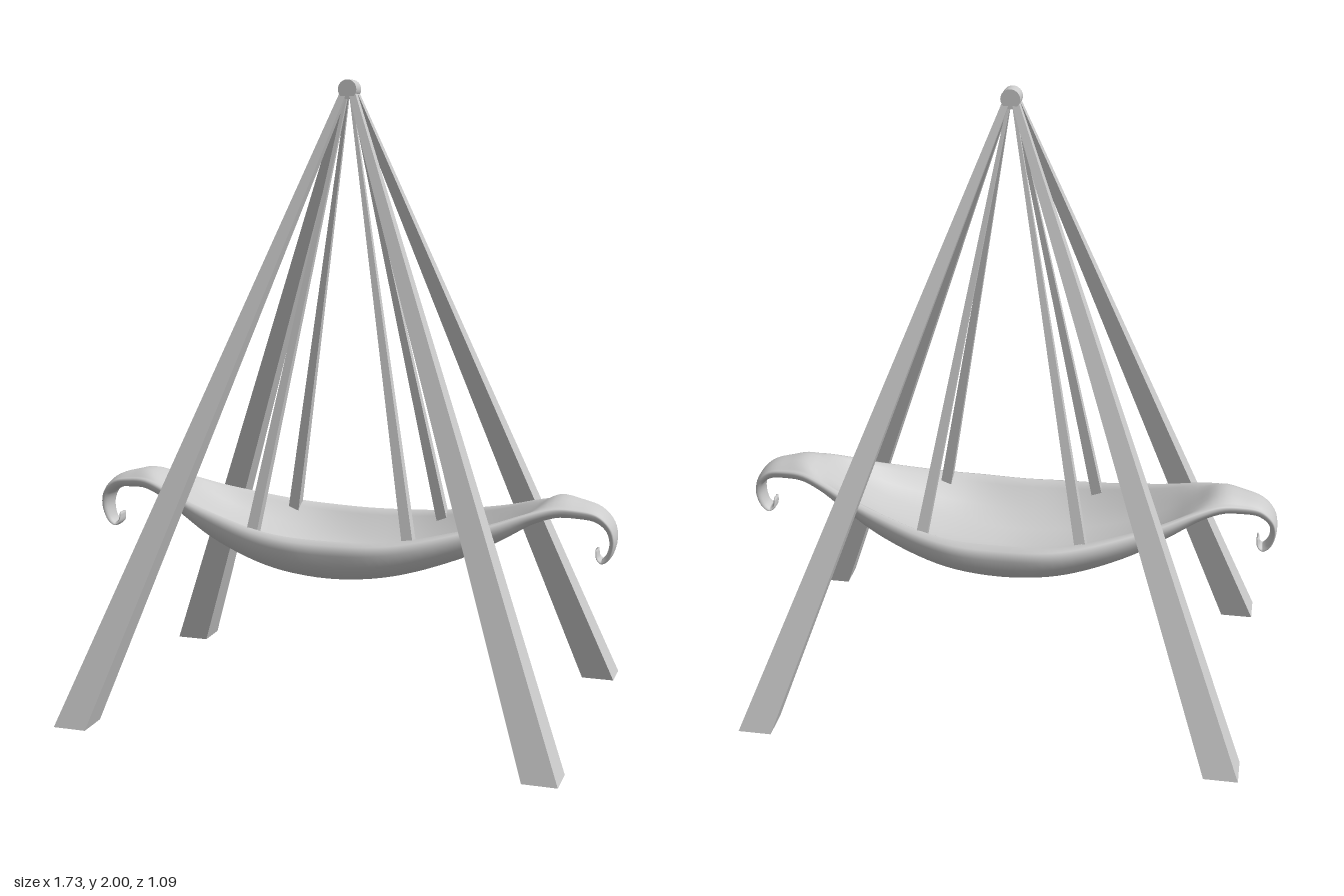
import * as THREE from 'three';

const material = new THREE.MeshStandardMaterial({ color: 0xcccccc });

// Square tapered beam; each end is {x, y, z, size} with a horizontal cut
function taperedBeam(bottom, top) {
  const geo = new THREE.BoxGeometry(1, 1, 1);
  const pos = geo.attributes.position;
  for (let i = 0; i < pos.count; i++) {
    const end = pos.getY(i) < 0 ? bottom : top;
    pos.setXYZ(i, end.x + pos.getX(i) * end.size, end.y, end.z + pos.getZ(i) * end.size);
  }
  geo.computeVertexNormals();
  return geo;
}

// Half of the hull from middle to curled tip:
// rim x, rim y, half width, keel depth, floor depth (negative = crowned)
const stations = [
  [0, 0.588, 0.272, 0.16, 0.125],
  [0.14, 0.592, 0.27, 0.15, 0.117],
  [0.26, 0.605, 0.245, 0.133, 0.103],
  [0.4, 0.633, 0.2, 0.108, 0.08],
  [0.5, 0.657, 0.163, 0.076, 0.048],
  [0.6, 0.688, 0.122, 0.05, 0.01],
  [0.68, 0.706, 0.09, 0.042, -0.022],
  [0.75, 0.702, 0.07, 0.038, -0.017],
  [0.81, 0.688, 0.058, 0.033, -0.011],
  [0.85, 0.65, 0.052, 0.024, -0.006],
  [0.862, 0.6, 0.042, 0.019, -0.003],
  [0.85, 0.55, 0.034, 0.016, -0.002],
  [0.825, 0.527, 0.03, 0.013, -0.002],
  [0.806, 0.54, 0.026, 0.01, -0.002],
  [0.803, 0.57, 0.02, 0.007, -0.001],
];

// Half cross-section from keel over the rim to the floor centre
function halfSection(w, d, f) {
  return [
    [0, -d], [0.4 * w, -0.91 * d], [0.79 * w, -0.79 * d], [0.93 * w, -0.5 * d],
    [w, -0.24 * d], [0.96 * w, -0.06 * d], [0.88 * w, 0], [0.78 * w, -0.14 * f],
    [0.62 * w, -0.65 * f], [0.34 * w, -0.92 * f], [0, -f],
  ];
}

function hullGeometry() {
  const mirrored = stations.slice(1).reverse().map(([x, ...rest]) => [-x, ...rest]);
  const all = [...mirrored, ...stations];
  const spline = (fn) => new THREE.CatmullRomCurve3(all.map(fn), false, 'catmullrom', 0.5);
  const path = spline((s) => new THREE.Vector3(s[0], s[1], 0));
  const sizes = spline((s) => new THREE.Vector3(s[2], s[3], s[4]));

  const steps = (all.length - 1) * 4;
  const positions = [], index = [];
  let ringSize = 0;
  for (let i = 0; i <= steps; i++) {
    const p = path.getPoint(i / steps);
    const t = path.getTangent(i / steps);
    const s = sizes.getPoint(i / steps);
    const half = halfSection(s.x, s.y, s.z);
    const ring = [...half, ...half.slice(1, -1).reverse().map(([z, n]) => [-z, n])];
    ringSize = ring.length;
    for (const [z, n] of ring) positions.push(p.x - t.y * n, p.y + t.x * n, z);
  }
  for (let i = 0; i < steps; i++) {
    for (let j = 0; j < ringSize; j++) {
      const a = i * ringSize + j, b = i * ringSize + (j + 1) % ringSize;
      const c = a + ringSize, d = b + ringSize;
      index.push(a, c, b, c, d, b);
    }
  }
  // Close both tips
  const last = steps * ringSize;
  for (let j = 1; j < ringSize - 1; j++) {
    index.push(0, j, j + 1, last, last + j + 1, last + j);
  }
  const geo = new THREE.BufferGeometry();
  geo.setAttribute('position', new THREE.Float32BufferAttribute(positions, 3));
  geo.setIndex(index);
  geo.computeVertexNormals();
  return geo;
}

export function createModel() {
  const model = new THREE.Group();
  const add = (name, geo) => {
    const mesh = new THREE.Mesh(geo, material);
    mesh.name = name;
    model.add(mesh);
    return mesh;
  };

  add('hammockHull', hullGeometry());

  // Pivot at the apex, lying along z
  const pivot = add('apexPivot', new THREE.CylinderGeometry(0.03, 0.03, 0.05, 24));
  pivot.rotation.x = Math.PI / 2;
  pivot.position.y = 1.97;

  // Four splayed legs and four hangers, mirrored in x and z
  for (const sx of [1, -1]) {
    for (const sz of [1, -1]) {
      const side = (sz > 0 ? 'front' : 'back') + (sx > 0 ? 'Left' : 'Right');
      add(side + 'Leg', taperedBeam(
        { x: sx * 0.745, y: 0, z: sz * 0.49, size: 0.107 },
        { x: sx * 0.012, y: 1.965, z: sz * 0.01, size: 0.022 }));
      add(side + 'Hanger', taperedBeam(
        { x: sx * 0.26, y: 0.57, z: sz * 0.203, size: 0.036 },
        { x: sx * 0.006, y: 1.96, z: sz * 0.006, size: 0.009 }));
    }
  }
  return model;
}
